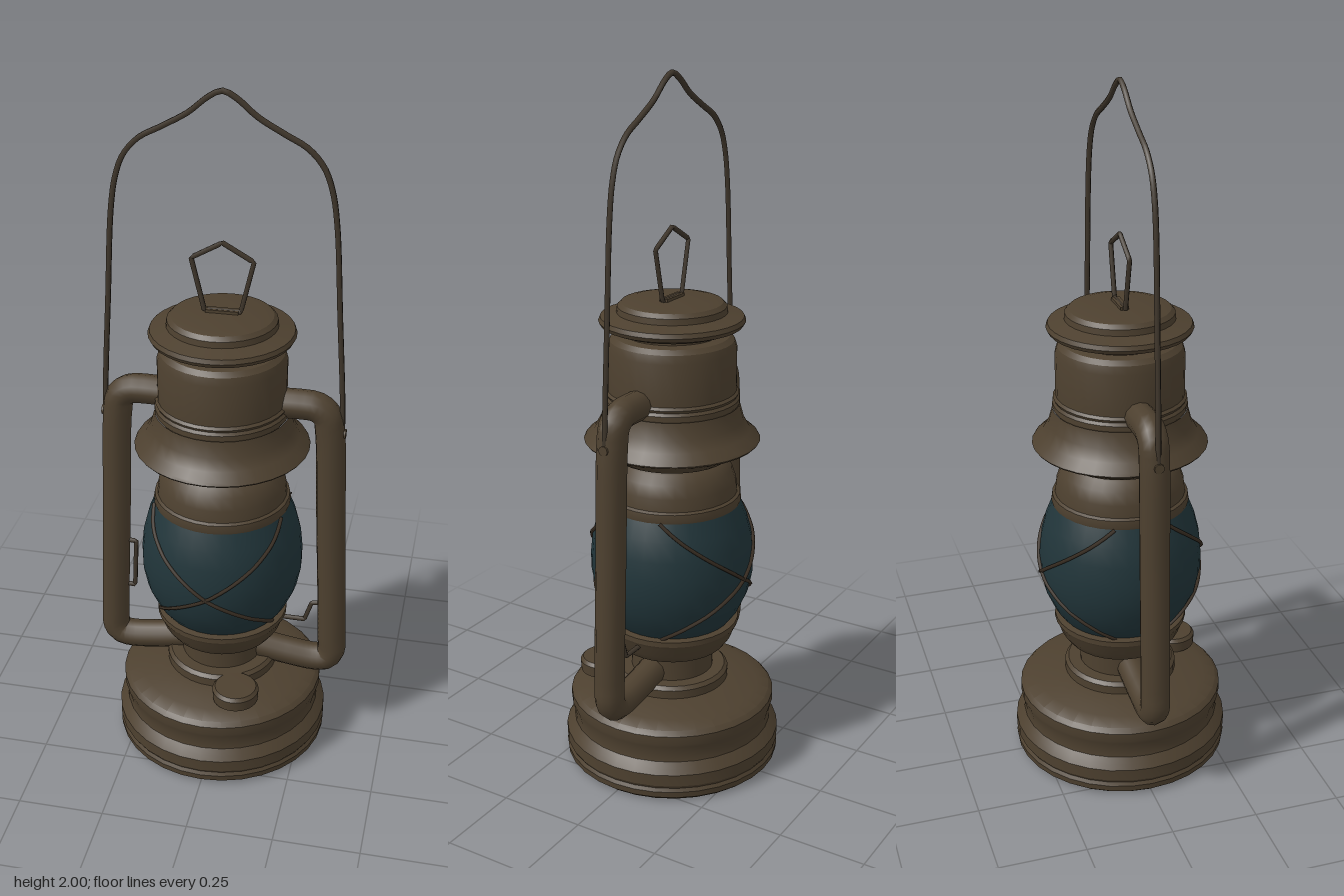
import * as THREE from 'three';
import { toCreasedNormals } from 'three/addons/utils/BufferGeometryUtils.js';

const metal = new THREE.MeshStandardMaterial({ color: 0x4d402f });
metal.name = 'agedBronze';
const wireMetal = new THREE.MeshStandardMaterial({ color: 0x3f362b });
wireMetal.name = 'darkWire';
const guardMetal = new THREE.MeshStandardMaterial({ color: 0x382d22 });
guardMetal.name = 'guardWire';
const glass = new THREE.MeshStandardMaterial({ color: 0x21353a });
glass.name = 'smokyGlass';

const GLASS = [[0.165, 0.43], [0.195, 0.47], [0.222, 0.53], [0.234, 0.59], [0.235, 0.64],
  [0.229, 0.7], [0.215, 0.755], [0.193, 0.81]];

export function createModel() {
  const model = new THREE.Group();
  model.name = 'lantern';

  const add = (name, geometry, material) => {
    const mesh = new THREE.Mesh(geometry, material);
    mesh.name = name;
    model.add(mesh);
    return mesh;
  };
  // Turned part from [radius, height] pairs, bottom to top
  const turned = (name, profile, material = metal, crease = 0.5) => {
    const points = profile.map(([r, y]) => new THREE.Vector2(r, y));
    return add(name, toCreasedNormals(new THREE.LatheGeometry(points, 32), crease), material);
  };
  // Round wire or pipe through [x, y, z] points; tension 0 keeps the spans straight
  const pipe = (name, points, radius, material, { sides = 6, steps = 48, closed = false, tension = 0.5 } = {}) => {
    const path = new THREE.CatmullRomCurve3(points.map(([x, y, z = 0]) => new THREE.Vector3(x, y, z)),
      closed, tension === 0.5 ? 'centripetal' : 'catmullrom', tension);
    return add(name, new THREE.TubeGeometry(path, steps, radius, sides, closed), material);
  };

  // Fuel tank and the neck above it
  turned('fuelTank', [[0, 0], [0.3, 0], [0.314, 0.012], [0.316, 0.03], [0.31, 0.04], [0.316, 0.05],
    [0.316, 0.085], [0.305, 0.1], [0.292, 0.115], [0.29, 0.135], [0.297, 0.165], [0.3, 0.175],
    [0.3, 0.2], [0.288, 0.213], [0.25, 0.226], [0.165, 0.245], [0, 0.25]]);
  turned('tankCollar', [[0.165, 0.235], [0.165, 0.27], [0.155, 0.28], [0, 0.28]]);
  turned('burnerNeck', [[0.12, 0.27], [0.12, 0.35], [0, 0.36]]);
  turned('burnerCup', [[0.1, 0.345], [0.13, 0.345], [0.158, 0.36], [0.176, 0.385], [0.187, 0.415],
    [0.193, 0.425], [0.193, 0.44], [0.165, 0.445], [0, 0.445]]);

  // Filler cap at the front of the tank
  const cap = turned('fillerCap', [[0.045, 0.2], [0.045, 0.237], [0.066, 0.24], [0.068, 0.272],
    [0.06, 0.282], [0, 0.284]]);
  cap.position.set(0.08, 0, 0.193);

  turned('glassGlobe', GLASS, glass, 1);

  // Chimney gallery, hood and ventilator cap
  turned('globeHolder', [[0.15, 0.8], [0.194, 0.8], [0.197, 0.81], [0.194, 0.83], [0.186, 0.835],
    [0.182, 0.87], [0.17, 0.905], [0.15, 0.93], [0.13, 0.94], [0.13, 0.955]]);
  turned('hood', [[0.12, 0.935], [0.165, 0.942], [0.2, 0.965], [0.243, 0.985], [0.248, 0.991], [0.243, 0.999],
    [0.219, 1.018], [0.201, 1.05], [0.19, 1.09], [0.189, 1.095]]);
  turned('chimney', [[0.184, 1.09], [0.189, 1.098], [0.189, 1.112], [0.183, 1.12], [0.187, 1.128], [0.18, 1.135],
    [0.18, 1.255], [0.173, 1.278], [0.16, 1.29], [0.135, 1.295], [0.135, 1.315]]);
  turned('ventCap', [[0.12, 1.305], [0.165, 1.308], [0.196, 1.32], [0.203, 1.332], [0.198, 1.344],
    [0.165, 1.352], [0.153, 1.355], [0.151, 1.372], [0.14, 1.383], [0.115, 1.389], [0, 1.39]]);

  // Lifting loop on the cap
  pipe('liftingLoop', [[-0.05, 1.393], [-0.085, 1.54], [0, 1.588], [0.085, 1.54], [0.05, 1.393]],
    0.007, wireMetal, { closed: true, steps: 60, tension: 0 });
  add('loopFoot', new THREE.BoxGeometry(0.09, 0.012, 0.024), metal).position.y = 1.392;

  // Side air tubes with the bail pivots
  for (const side of [1, -1]) {
    const name = side > 0 ? 'left' : 'right';
    pipe(name + 'AirTube', [[0.15, 1.132], [0.22, 1.134], [0.265, 1.13], [0.293, 1.108], [0.303, 1.06],
      [0.317, 0.75], [0.333, 0.37], [0.333, 0.31], [0.318, 0.285], [0.285, 0.278], [0.2, 0.287], [0.1, 0.305]]
      .map(([x, y]) => [x * side, y]), 0.042, metal, { sides: 12, steps: 72 });
    const pivot = add(name + 'BailPivot', new THREE.CylinderGeometry(0.014, 0.014, 0.04, 10), metal);
    pivot.rotation.z = Math.PI / 2;
    pivot.position.set(side * 0.328, 1.055, 0);
  }

  // Carrying bail
  const half = [[0.338, 1.04], [0.335, 1.14], [0.318, 1.4], [0.3, 1.66], [0.285, 1.75], [0.262, 1.81],
    [0.22, 1.857], [0.16, 1.89], [0.09, 1.93], [0.035, 1.975]];
  pipe('carryingBail', [...half, [0, 1.991], ...half.map(([x, y]) => [-x, y]).reverse()],
    0.008, wireMetal, { steps: 120 });

  // Crossed guard wires following the globe, front and back
  const globeRadius = (y) => {
    const i = Math.max(1, GLASS.findIndex((p) => p[1] >= y));
    const [r0, y0] = GLASS[i - 1], [r1, y1] = GLASS[i];
    return r0 + (r1 - r0) * (y - y0) / (y1 - y0);
  };
  for (const facing of [1, -1]) {
    for (const slant of [1, -1]) {
      const points = [];
      for (let i = 0; i <= 16; i++) {
        const t = i / 8 - 1;
        const y = 0.605 + t * (t > 0 ? 0.2 : 0.165);
        const r = globeRadius(y) + 0.003;
        const angle = slant * t * 1.2;
        points.push([r * Math.sin(angle), y, facing * r * Math.cos(angle)]);
      }
      pipe('globeGuardWire', points, 0.0055, guardMetal, { sides: 5, steps: 32 });
    }
  }

  // Globe lifter wire and wick crank
  pipe('globeLifter', [[-0.3, 0.62], [-0.262, 0.618], [-0.27, 0.46], [-0.31, 0.462]],
    0.007, wireMetal, { steps: 36, tension: 0 });
  pipe('wickCrank', [[0.13, 0.41], [0.25, 0.41], [0.27, 0.472], [0.31, 0.478]],
    0.007, wireMetal, { steps: 36, tension: 0 });

  return model;
}
